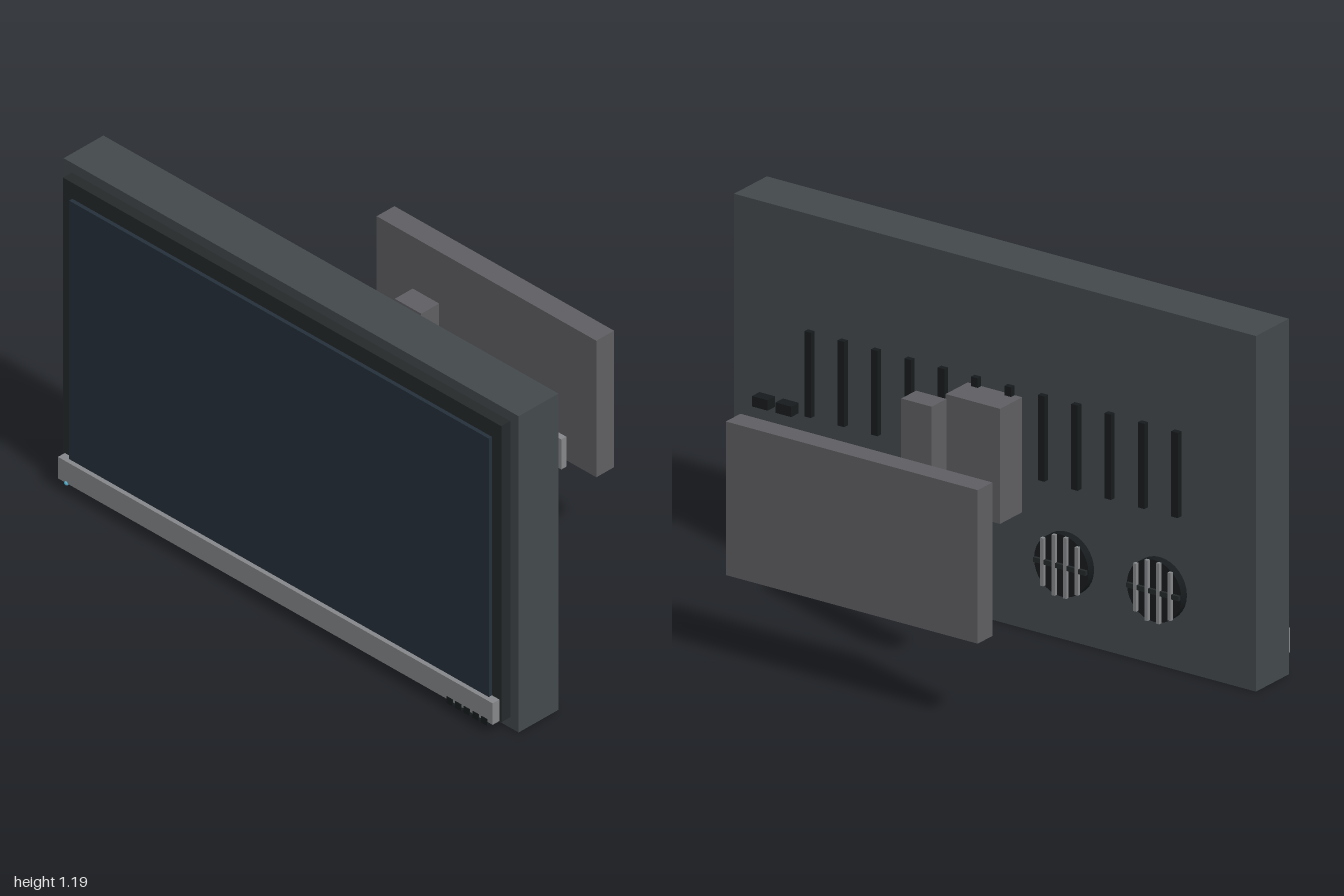
import * as THREE from 'three';

const mat = (color) => new THREE.MeshStandardMaterial({ color });

export function createModel() {
  const root = new THREE.Group();
  root.name = 'wallMountedTelevision';

  // The whole set is swivelled about the vertical axis
  const set = new THREE.Group();
  set.name = 'swivelledSet';
  set.position.z = 0.308;
  set.rotation.y = -0.1403;
  root.add(set);

  const shell = mat(0x43494c);
  const dark = mat(0x25292b);
  const black = mat(0x171b1d);
  const glass = mat(0x25303b);
  const silver = mat(0x85878a);
  const steel = mat(0x5f5f63);
  const light = mat(0x55b0d0);

  // Box given by its limits along each axis
  const box = (name, m, [x0, x1], [y0, y1], [z0, z1], parent = set) => {
    const mesh = new THREE.Mesh(new THREE.BoxGeometry(x1 - x0, y1 - y0, z1 - z0), m);
    mesh.position.set((x0 + x1) / 2, (y0 + y1) / 2, (z0 + z1) / 2);
    mesh.name = name;
    parent.add(mesh);
    return mesh;
  };
  const around = (c, size) => [c - size / 2, c + size / 2];
  const back = -0.0875;

  // Cabinet, bezel, screen and lower trim
  box('cabinet', shell, [-0.9975, 0.9975], [0, 1.193], [back, 0.0875]);
  box('bezel', dark, [-0.961, 0.961], [0.04, 1.157], [0.0875, 0.127]);
  box('screen', glass, [-0.92, 0.92], [0.1, 1.097], [0.127, 0.141]);
  box('speakerBar', silver, [-0.953, 0.953], [0.041, 0.122], [0.127, 0.157]);

  // Control buttons and status light
  for (let i = 0; i < 5; i++) {
    box('controlButton', black, around(0.765 + i * 0.038, 0.026), [0.027, 0.052], [0.136, 0.159]);
  }
  const led = new THREE.Mesh(new THREE.SphereGeometry(0.008, 12, 8), light);
  led.name = 'statusLight';
  led.position.set(-0.917, 0.04, 0.155);
  set.add(led);

  // Row of cooling ribs across the back
  for (let i = 0; i < 12; i++) {
    box('coolingRib', black, around(-0.7 + i * 0.1275, 0.025), [0.52, 0.806], [back - 0.019, back]);
  }

  // Socket panel with its connectors
  box('socketPanel', black, [0.27, 0.885], [0.156, 0.395], [back - 0.036, back]);
  for (const x of [0.4, 0.51, 0.62]) {
    box('wideSocket', silver, around(x, 0.08), [0.255, 0.297], [back - 0.047, back - 0.036]);
  }
  for (const x of [0.37, 0.465]) {
    box('smallSocket', dark, around(x, 0.055), [0.177, 0.213], [back - 0.047, back - 0.036]);
  }
  for (const x of [0.78, 0.87]) {
    box('sidePort', black, around(x, 0.06), [0.516, 0.551], [back - 0.04, back]);
  }

  // Round rear speakers with barred grilles
  for (const x of [-0.63, -0.275]) {
    const speaker = new THREE.Group();
    speaker.name = 'rearSpeaker';
    speaker.position.set(x, 0.26, back);
    set.add(speaker);
    const disc = new THREE.Mesh(new THREE.CylinderGeometry(0.104, 0.104, 0.03, 32), black);
    disc.name = 'speakerDisc';
    disc.rotation.x = Math.PI / 2;
    disc.position.z = -0.015;
    speaker.add(disc);
    for (const bx of [-0.066, -0.022, 0.022, 0.066]) {
      const h = Math.sqrt(0.104 ** 2 - bx ** 2);
      box('grilleBar', silver, around(bx, 0.012), [-h, h], [-0.042, -0.03], speaker);
    }
    box('grilleCrossBar', dark, [-0.1, 0.1], [-0.008, 0.008], [-0.04, -0.03], speaker);
  }

  // Wall mount: bracket, arm and wall plate
  box('mountBracket', steel, [-0.104, 0.104], [0.388, 0.774], [-0.205, back]);
  box('mountArm', steel, [-0.058, 0.058], [0.23, 0.87], [-0.505, -0.426]);
  box('wallPlate', steel, [-0.4815, 0.4815], [0.291, 0.806], [-0.849, -0.771]);
  box('wallPlateRail', silver, [-0.35, 0.35], [0.267, 0.38], [-0.771, -0.749]);

  return root;
}
